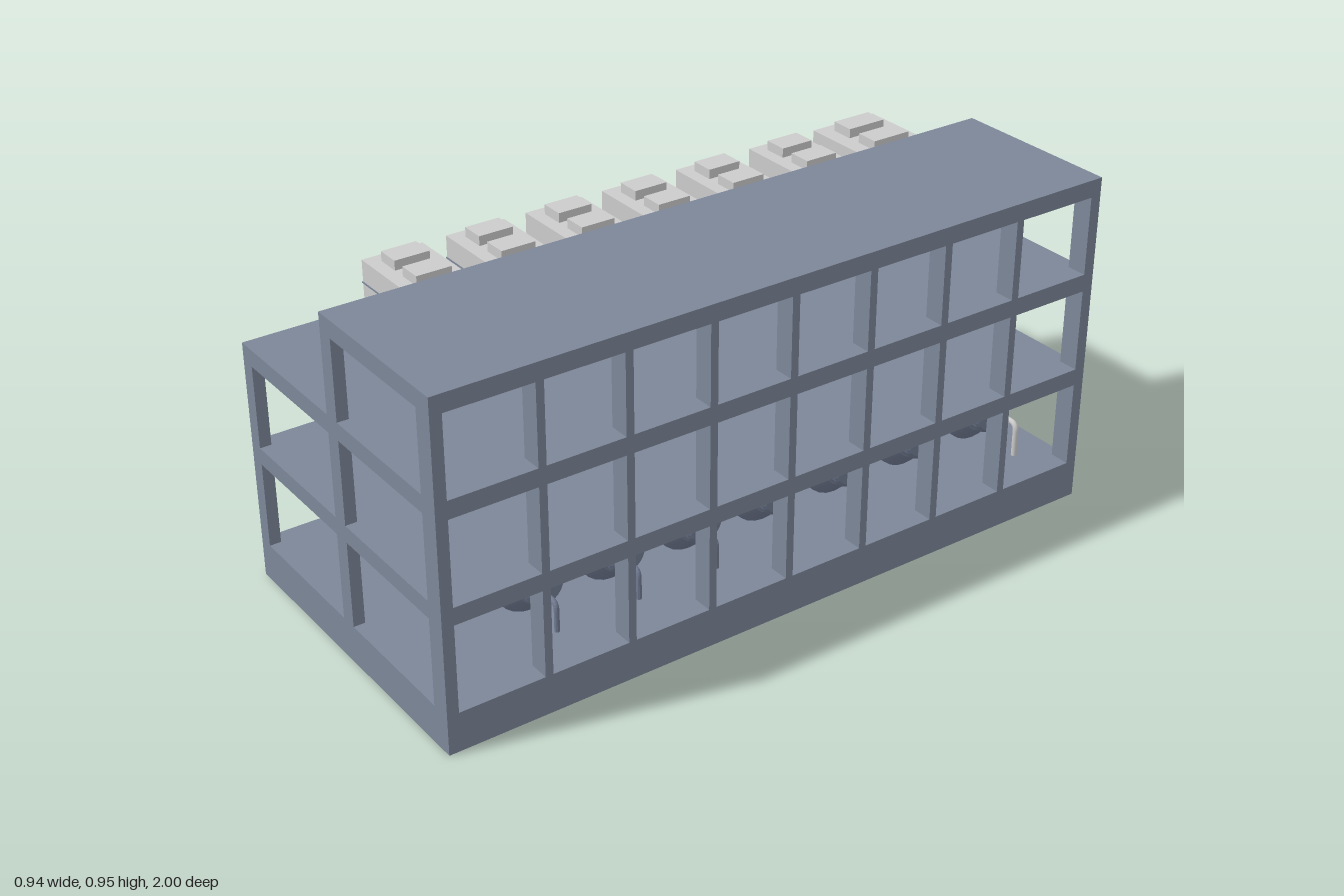
import * as THREE from 'three';

const frameMat = new THREE.MeshStandardMaterial({ color: 0x7d8798 });
const tankMat = new THREE.MeshStandardMaterial({ color: 0x717b92 });
tankMat.flatShading = true;
const greyMat = new THREE.MeshStandardMaterial({ color: 0xcccccc });

// Box given by its minimum and maximum corners
function box(parent, name, mat, [x0, y0, z0], [x1, y1, z1]) {
  const mesh = new THREE.Mesh(new THREE.BoxGeometry(x1 - x0, y1 - y0, z1 - z0), mat);
  mesh.position.set((x0 + x1) / 2, (y0 + y1) / 2, (z0 + z1) / 2);
  mesh.name = name;
  parent.add(mesh);
  return mesh;
}

// Pipe that leaves horizontally along x, bends and drops to the floor
function elbowPipe(parent, name, mat, xStart, xEnd, yTop, yFloor, r, z = 0) {
  const bend = 0.022, dir = Math.sign(xEnd - xStart);
  const v = (x, y) => new THREE.Vector3(x, y, z);
  const path = new THREE.CurvePath();
  path.add(new THREE.LineCurve3(v(xStart, yTop), v(xEnd - dir * bend, yTop)));
  path.add(new THREE.QuadraticBezierCurve3(v(xEnd - dir * bend, yTop), v(xEnd, yTop), v(xEnd, yTop - bend)));
  path.add(new THREE.LineCurve3(v(xEnd, yTop - bend), v(xEnd, yFloor)));
  const mesh = new THREE.Mesh(new THREE.TubeGeometry(path, 24, r, 10), mat);
  mesh.name = name;
  parent.add(mesh);
}

// Horizontal vessel with conical ends, flanges, saddles and drain pipes
function makeTank(last) {
  const g = new THREE.Group();
  g.name = 'tank';
  const profile = [
    [0, -0.3], [0.033, -0.3], [0.033, -0.276], [0.035, -0.274], [0.104, -0.21],
    [0.104, 0.21], [0.062, 0.246], [0.055, 0.246], [0.055, 0.275], [0.046, 0.283], [0, 0.283],
  ].map(([r, x]) => new THREE.Vector2(r, x));
  const body = new THREE.Mesh(new THREE.LatheGeometry(profile, 24), tankMat);
  body.name = 'tankBody';
  body.rotation.z = -Math.PI / 2;
  body.position.y = 0.213;
  g.add(body);
  for (const x of [-0.112, 0.135]) {
    const saddle = new THREE.Mesh(new THREE.ConeGeometry(0.115, 0.11, 4), tankMat);
    saddle.name = 'saddle';
    saddle.scale.x = 0.27;
    saddle.position.set(x, 0.163, 0);
    g.add(saddle);
  }
  elbowPipe(g, 'inletPipe', tankMat, -0.295, -0.346, 0.208, 0.108, 0.007);
  if (last) elbowPipe(g, 'outletPipe', greyMat, 0.27, 0.352, 0.208, 0.108, 0.008, -0.027);
  else elbowPipe(g, 'outletPipe', tankMat, 0.27, 0.327, 0.193, 0.108, 0.007);
  return g;
}

// Roof unit: long box with two trim bands, four hatches and a pipe
function makeRoofUnit(halfWidth, hatchHalf) {
  const g = new THREE.Group();
  g.name = 'roofUnit';
  box(g, 'unitBody', greyMat, [-0.398, 0.68, -halfWidth], [0.066, 0.855, halfWidth]);
  for (const y of [0.719, 0.793]) {
    box(g, 'trimBand', frameMat, [-0.4, y - 0.002, -halfWidth - 0.002], [0.069, y + 0.002, halfWidth + 0.002]);
  }
  for (const x of [-0.329, -0.222, -0.109, 0.003]) {
    box(g, 'hatch', greyMat, [x - 0.034, 0.85, -hatchHalf], [x + 0.034, 0.882, hatchHalf]);
  }
  elbowPipe(g, 'unitPipe', tankMat, -0.39, -0.448, 0.768, 0.68, 0.0075);
  return g;
}

export function createModel() {
  const model = new THREE.Group();
  model.name = 'plantBuilding';

  // Floors and roof
  box(model, 'base', frameMat, [-0.472, 0, -1], [0.47, 0.11, 1]);
  box(model, 'firstFloor', frameMat, [-0.472, 0.354, -1], [0.47, 0.402, 1]);
  box(model, 'secondFloor', frameMat, [-0.472, 0.636, -1], [0.47, 0.685, 1]);
  box(model, 'roof', frameMat, [-0.027, 0.906, -1], [0.47, 0.955, 1]);

  // Three rows of columns between the floors
  const storeys = [[0.11, 0.354], [0.402, 0.636], [0.685, 0.906]];
  const rows = [[-0.472, -0.428, 2], [-0.027, 0.022, 3], [0.412, 0.47, 3]];
  const spans = [[-1, -0.968], [0.968, 1]];
  for (let i = -3; i <= 3; i++) spans.push([i * 0.24 - 0.012, i * 0.24 + 0.01]);
  for (const [x0, x1, count] of rows) {
    for (const [y0, y1] of storeys.slice(0, count)) {
      for (const [z0, z1] of spans) box(model, 'column', frameMat, [x0, y0, z0], [x1, y1, z1]);
    }
  }

  // One tank and one roof unit per bay; the front bay stays empty
  [0.605, 0.362, 0.123, -0.116, -0.357, -0.606, -0.854].forEach((z, i) => {
    const last = i === 6;
    const tank = makeTank(last);
    const unit = makeRoofUnit(last ? 0.108 : 0.087, last ? 0.061 : 0.05);
    tank.position.z = unit.position.z = z;
    model.add(tank, unit);
  });
  return model;
}
